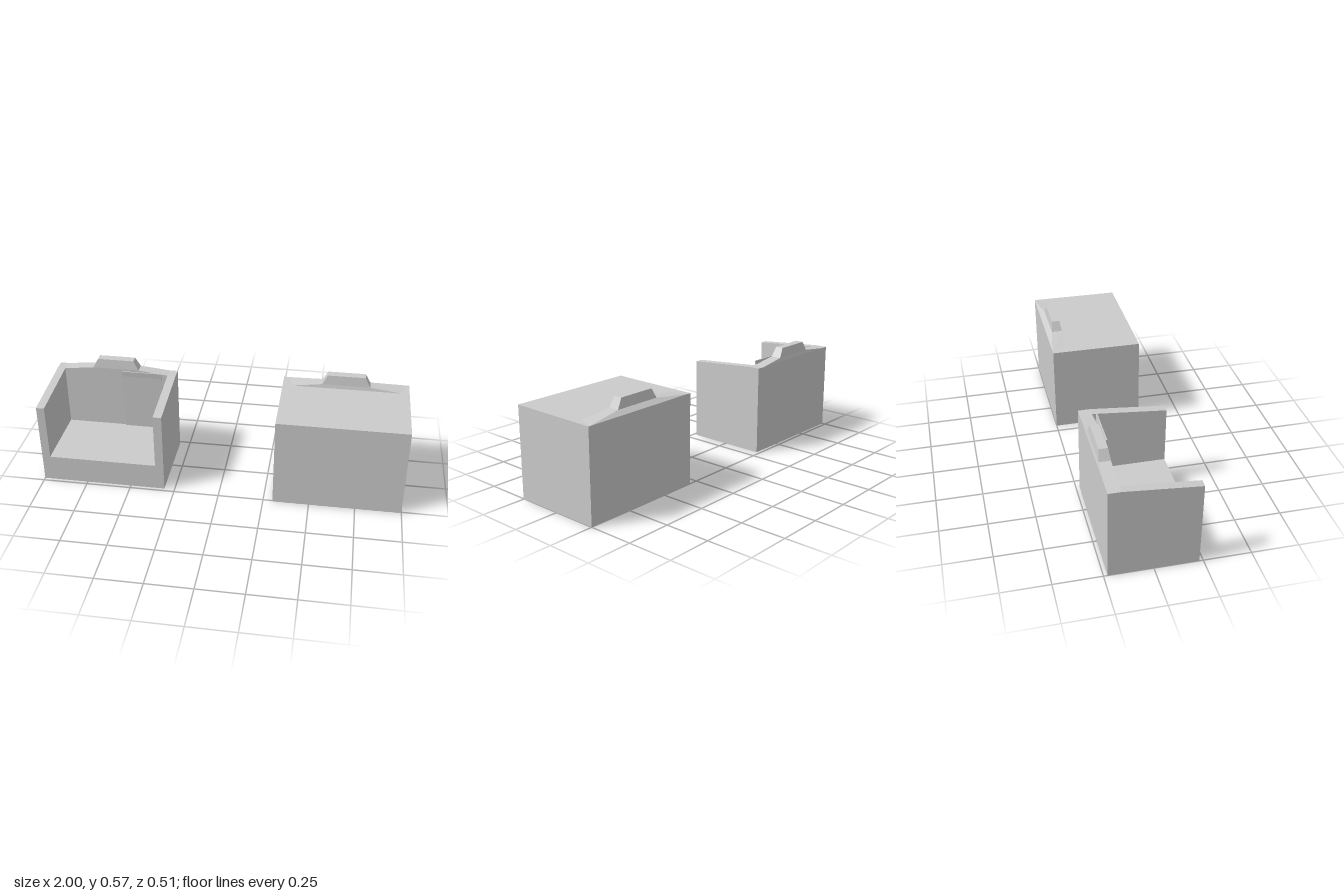
import * as THREE from 'three';

const material = new THREE.MeshStandardMaterial({ color: 0xcccccc, flatShading: true });

function addMesh(parent, name, geometry) {
  const mesh = new THREE.Mesh(geometry, material);
  mesh.name = name;
  parent.add(mesh);
  return mesh;
}

// Solid through stacked rectangles, each [y, xMin, xMax, zMin, zMax], bottom to top
function loft(rings) {
  const points = [];
  const index = [];
  for (const [y, x0, x1, z0, z1] of rings) {
    points.push(x0, y, z1, x1, y, z1, x1, y, z0, x0, y, z0);
  }
  for (let r = 0; r < rings.length - 1; r++) {
    for (let i = 0; i < 4; i++) {
      const a = r * 4 + i;
      const b = r * 4 + (i + 1) % 4;
      index.push(a, b, b + 4, a, b + 4, a + 4);
    }
  }
  const t = (rings.length - 1) * 4;
  index.push(0, 2, 1, 0, 3, 2, t, t + 1, t + 2, t, t + 2, t + 3);
  const geometry = new THREE.BufferGeometry();
  geometry.setAttribute('position', new THREE.Float32BufferAttribute(points, 3));
  geometry.setIndex(index);
  const flat = geometry.toNonIndexed();
  flat.computeVertexNormals();
  return flat;
}

// Extrudes a [z, y] outline along x, from x0 to x1
function sideProfile(outline, x0, x1) {
  const shape = new THREE.Shape(outline.map(([z, y]) => new THREE.Vector2(-z, y)));
  const geometry = new THREE.ExtrudeGeometry(shape, { depth: x1 - x0, bevelEnabled: false });
  return geometry.rotateY(Math.PI / 2).translate(x0, 0, 0);
}

// Raised crest: a shallow ramp up to a tapered block
function crest(cx, base) {
  return loft([
    base,
    [0.52, cx - 0.132, cx + 0.132, -0.224, -0.165],
    [0.573, cx - 0.103, cx + 0.103, -0.218, -0.172],
  ]);
}

export function createModel() {
  const model = new THREE.Group();

  // Open chair
  const chair = new THREE.Group();
  chair.name = 'openChair';
  model.add(chair);
  const armOutline = [[0.23, 0], [0.23, 0.465], [-0.165, 0.5], [-0.23, 0.5], [-0.23, 0]];
  for (const [name, x0, x1] of [['rightArm', -1, -0.955], ['leftArm', -0.355, -0.308]]) {
    addMesh(chair, name, sideProfile(armOutline, x0, x1));
  }
  addMesh(chair, 'seat', loft([[0, -0.955, -0.355, -0.165, 0.23], [0.15, -0.955, -0.355, -0.165, 0.23]]));
  addMesh(chair, 'backrest', loft([[0, -0.955, -0.355, -0.23, -0.165], [0.5, -0.955, -0.355, -0.23, -0.165]]));
  addMesh(chair, 'chairCrest', crest(-0.654, [0.5, -0.955, -0.355, -0.23, -0.165]));

  // Thin panel leaning on the backrest, its top bent forward
  addMesh(chair, 'backPanel', sideProfile([
    [-0.157, 0.15], [-0.147, 0.485], [-0.144, 0.517],
    [-0.15, 0.517], [-0.153, 0.485], [-0.164, 0.15],
  ], -0.615, -0.385));

  // Closed block
  const block = new THREE.Group();
  block.name = 'closedBlock';
  model.add(block);
  addMesh(block, 'blockBody', loft([[0, 0.302, 1, -0.25, 0.255], [0.5, 0.302, 1, -0.254, 0.251]]));

  // Its crest has a wider footprint along the rear edge
  const blockCrest = crest(0.652, [0.5, 0.355, 0.955, -0.254, -0.16]);
  const position = blockCrest.attributes.position;
  for (let i = 0; i < position.count; i++) {
    if (position.getY(i) < 0.51 && position.getZ(i) < -0.2) {
      position.setX(i, position.getX(i) < 0.6 ? 0.33 : 0.99);
    }
  }
  blockCrest.computeVertexNormals();
  addMesh(block, 'blockCrest', blockCrest);

  return model;
}
